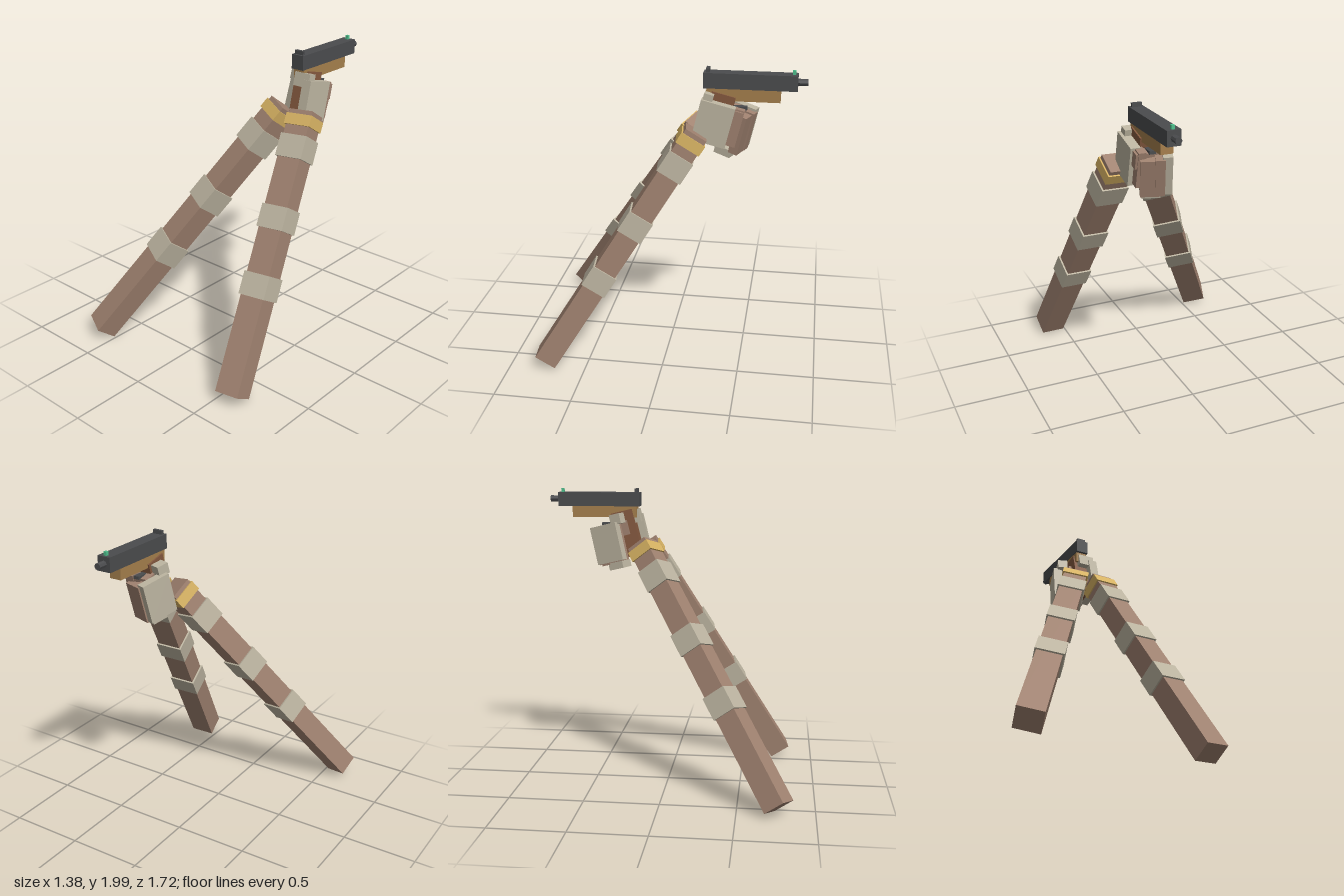
import * as THREE from 'three';

const mat = (color) => new THREE.MeshStandardMaterial({ color, flatShading: true });
const skin = mat(0xa08270), plate = mat(0xbdb5a1), gold = mat(0xd9b464), gun = mat(0x4b4c4e);
const wood = mat(0xa57f4c), gripMat = mat(0x85593f), green = mat(0x4fc08d);

function box(parent, name, material, size, pos) {
  const m = new THREE.Mesh(new THREE.BoxGeometry(...size), material);
  m.name = name;
  m.position.set(...pos);
  parent.add(m);
  return m;
}

// A long square arm: base centre, axis, width direction, length, band positions along the axis
function arm(name, base, axis, width, length, bands, cuff, bandLength) {
  const g = new THREE.Group();
  g.name = name;
  const u = new THREE.Vector3(...axis).normalize();
  const w = new THREE.Vector3(...width);
  w.addScaledVector(u, -w.dot(u)).normalize();
  const n = new THREE.Vector3().crossVectors(w, u);
  g.quaternion.setFromRotationMatrix(new THREE.Matrix4().makeBasis(w, u, n));
  g.position.set(...base);
  box(g, 'sleeve', skin, [0.165, length, 0.148], [0, length / 2, 0]);
  for (const t of bands) box(g, 'armBand', plate, [0.188, bandLength, 0.17], [0, t, 0]);
  box(g, 'goldCuff', gold, [0.185, 0.072, 0.168], [0, cuff, 0]);
  return g;
}

function tilted(name, pos, yaw) {
  const g = new THREE.Group();
  g.name = name;
  g.position.set(...pos);
  g.rotation.set(-0.24, yaw, 0, 'YXZ');
  return g;
}

export function createModel() {
  const model = new THREE.Group();

  // Arms
  model.add(arm('rightArm', [-0.606, 0.074, 0.768], [0.406, 0.773, -0.487], [0.147, -0.037, 0.066],
    2.0, [0.746, 1.224, 1.73], 1.936, 0.16));
  model.add(arm('leftArm', [0.603, 0.066, 0.763], [-0.116, 0.844, -0.523], [0.163, 0.01, -0.02],
    1.84, [0.695, 1.135, 1.6], 1.774, 0.15));

  // Pistol
  const pistol = new THREE.Group();
  pistol.name = 'pistol';
  const cx = 0.285;
  box(pistol, 'slide', gun, [0.09, 0.095, 0.57], [cx, 1.927, -0.515]);
  box(pistol, 'frame', wood, [0.08, 0.075, 0.45], [cx, 1.842, -0.475]);
  const muzzle = new THREE.Mesh(new THREE.CylinderGeometry(0.022, 0.022, 0.08, 8), gun);
  muzzle.name = 'muzzle';
  muzzle.rotation.x = Math.PI / 2;
  muzzle.position.set(cx, 1.928, -0.82);
  pistol.add(muzzle);
  box(pistol, 'rearSight', gun, [0.066, 0.026, 0.02], [cx, 1.987, -0.255]);
  box(pistol, 'frontSight', green, [0.02, 0.026, 0.02], [cx, 1.987, -0.775]);
  box(pistol, 'triggerGuard', gun, [0.04, 0.02, 0.12], [cx, 1.755, -0.44]);
  const grip = tilted('grip', [cx, 1.69, -0.32], 0);
  box(grip, 'gripCore', gripMat, [0.1, 0.32, 0.15], [0, 0, 0]);
  pistol.add(grip);
  model.add(pistol);

  // Left hand: outer guard plate, palm and fingers
  const left = tilted('leftHand', [0.3, 1.67, -0.315], 0);
  box(left, 'guardPlate', plate, [0.065, 0.26, 0.215], [0.067, 0, 0.015]);
  box(left, 'palm', skin, [0.05, 0.24, 0.22], [0.045, 0.005, -0.04]);
  box(left, 'knuckles', skin, [0.17, 0.1, 0.17], [0, 0.065, -0.06]);
  box(left, 'thumbPlate', plate, [0.12, 0.09, 0.06], [0.02, 0.125, 0.085]);
  model.add(left);

  // Right hand: turned inward around the grip
  const right = tilted('rightHand', [0.23, 1.6, -0.41], -0.32);
  box(right, 'guardPlate', plate, [0.06, 0.26, 0.2], [-0.065, 0.03, 0]);
  box(right, 'palm', skin, [0.06, 0.25, 0.2], [-0.02, 0.02, -0.01]);
  box(right, 'fingers', skin, [0.14, 0.25, 0.06], [0.03, 0.01, -0.07]);
  box(right, 'lowerPlate', plate, [0.12, 0.05, 0.11], [0.03, -0.13, 0.0]);
  box(right, 'thumb', plate, [0.07, 0.07, 0.08], [-0.03, 0.18, 0.09]);
  model.add(right);

  return model;
}
